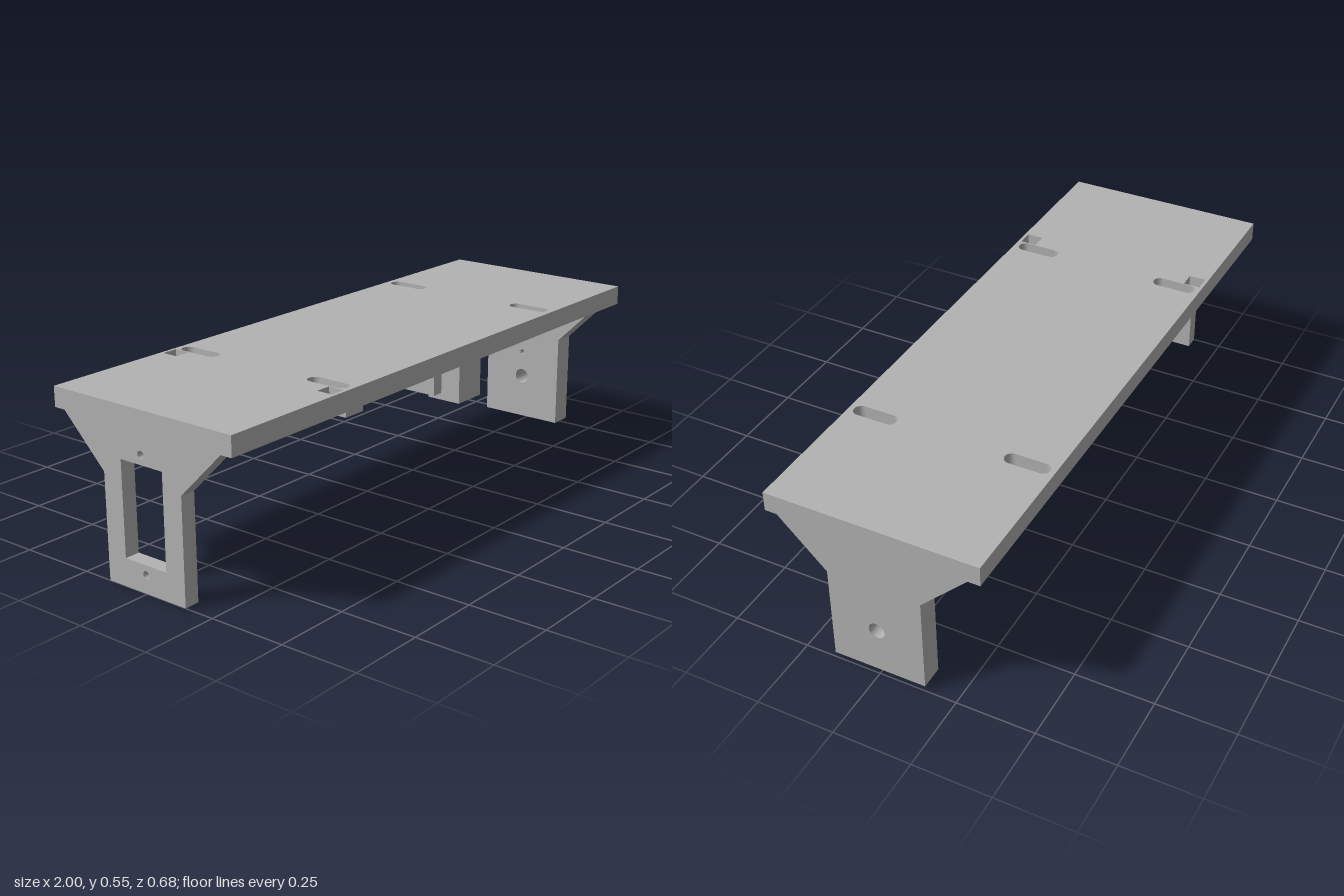
import * as THREE from 'three';

const plateTop = 0.547, plateBottom = 0.484;

const polygon = (points, Type = THREE.Shape) => {
  const shape = new Type();
  shape.setFromPoints(points.map(([a, b]) => new THREE.Vector2(a, b)));
  return shape;
};
const rectHole = (a0, a1, b0, b1) => polygon([[a0, b0], [a0, b1], [a1, b1], [a1, b0]], THREE.Path);
const roundHole = (a, b, r) => new THREE.Path().absarc(a, b, r, 0, Math.PI * 2, true);

// slot with semicircular ends, long in the second axis
const slotHole = (a, b0, b1, r) => {
  const path = new THREE.Path();
  path.absarc(a, b1 - r, r, 0, Math.PI, false);
  path.absarc(a, b0 + r, r, Math.PI, Math.PI * 2, false);
  path.closePath();
  return path;
};

export function createModel() {
  const model = new THREE.Group();
  const grey = new THREE.MeshStandardMaterial({ color: 0xb3b3b3 });
  grey.name = 'grey plastic';

  const add = (name, geometry, x = 0, y = 0, z = 0) => {
    const mesh = new THREE.Mesh(geometry, grey);
    mesh.name = name;
    mesh.position.set(x, y, z);
    model.add(mesh);
  };
  const extrude = (shape, holes, depth) => {
    shape.holes.push(...holes);
    return new THREE.ExtrudeGeometry(shape, { depth, bevelEnabled: false, curveSegments: 16 });
  };
  // end-view profile (z, y) extruded from x0 to x1
  const addProfile = (name, points, holes, x0, x1) =>
    add(name, extrude(polygon(points), holes, x1 - x0).rotateY(Math.PI / 2), x0);

  // top plate with mounting slots and square openings
  const plateHoles = [];
  for (const s of [-1, 1]) {
    const span = (a, b) => (s > 0 ? [a, b] : [-b, -a]);
    for (const x of [-0.498, 0.557]) plateHoles.push(slotHole(x, ...span(0.178, 0.323), 0.023));
    plateHoles.push(rectHole(-0.577, -0.524, ...span(0.275, 0.329)));
  }
  const plate = polygon([[-1, -0.34], [1, -0.34], [1, 0.34], [-1, 0.34]]);
  add('topPlate', extrude(plate, plateHoles, plateTop - plateBottom).rotateX(Math.PI / 2), 0, plateTop);

  // end brackets flaring out towards the plate
  const bracket = (bottom) => [
    [-0.15, bottom], [0.15, bottom], [0.15, 0.333], [0.301, plateBottom],
    [-0.301, plateBottom], [-0.15, 0.333],
  ];
  addProfile('motorBracket', bracket(0), [
    rectHole(-0.08, 0.08, 0.088, 0.386),
    roundHole(0, 0.058, 0.012),
    roundHole(0, 0.416, 0.012),
  ], -1, -0.95);
  // the inner layer carries a small blind pilot hole above the shaft hole
  const shaftHole = () => roundHole(0, 0.17, 0.026);
  addProfile('shaftBracketInner', bracket(0.018), [shaftHole(), roundHole(0, 0.262, 0.01)], 0.925, 0.95);
  addProfile('shaftBracketOuter', bracket(0.018), [shaftHole()], 0.95, 1);

  // slotted rib under the plate
  addProfile('slottedRib', [[-0.176, 0.333], [0.176, 0.333], [0.176, plateBottom], [-0.176, plateBottom]],
    [rectHole(-0.155, 0.155, 0.378, 0.422)], 0.123, 0.163);

  // offset support blocks under the plate
  const addBlock = (name, x0, x1, z0, z1) => {
    const height = plateBottom - 0.262;
    add(name, new THREE.BoxGeometry(x1 - x0, height, z1 - z0),
      (x0 + x1) / 2, plateBottom - height / 2, (z0 + z1) / 2);
  };
  addBlock('rearBlock', -0.06, 0.028, -0.163, -0.04);
  addBlock('frontBlock', 0.283, 0.406, 0.04, 0.163);

  return model;
}
